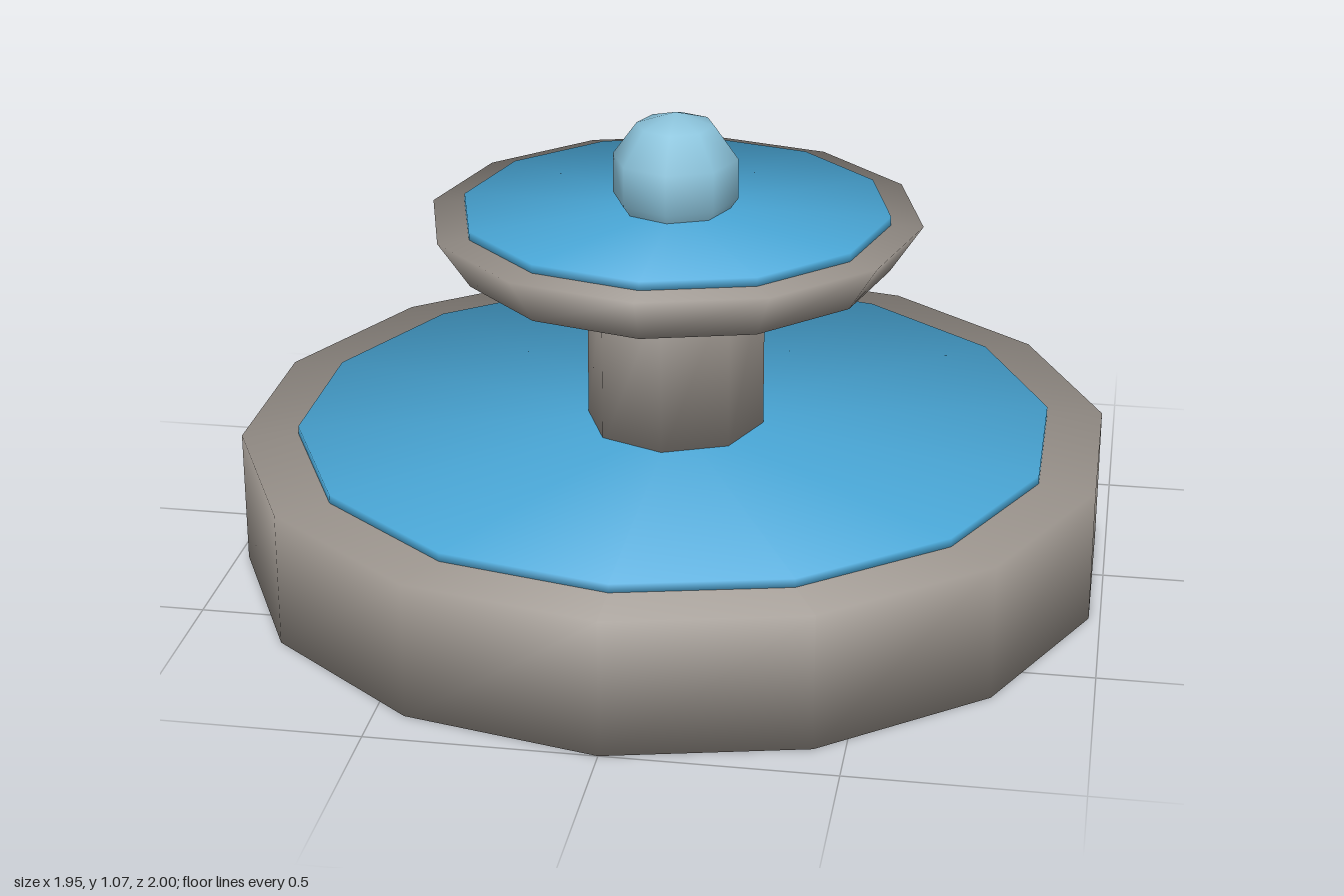
import * as THREE from 'three';

const material = (name, color) => {
  const m = new THREE.MeshStandardMaterial({ color });
  m.name = name;
  return m;
};

// Average the normals of corners that share a position, so rims shade softly.
function softenRims(geometry) {
  const pos = geometry.attributes.position;
  const nor = geometry.attributes.normal;
  const sums = new Map();
  const p = new THREE.Vector3();
  const n = new THREE.Vector3();
  const keys = [];
  for (let i = 0; i < pos.count; i++) {
    p.fromBufferAttribute(pos, i);
    const key = [p.x, p.y, p.z].map((v) => Math.round(v * 1e4)).join();
    keys.push(key);
    if (!sums.has(key)) sums.set(key, new THREE.Vector3());
    sums.get(key).add(n.fromBufferAttribute(nor, i));
  }
  keys.forEach((key, i) => {
    n.copy(sums.get(key)).normalize();
    nor.setXYZ(i, n.x, n.y, n.z);
  });
  return geometry;
}

export function createModel() {
  const fountain = new THREE.Group();
  fountain.name = 'fountain';

  const stone = material('stone', 0x9c958e);
  const water = material('water', 0x4aa8d8);
  const spray = material('spray', 0x8cc4dc);

  // Upright faceted disc from y0 to y1
  const addDisc = (name, mat, sides, rTop, rBottom, y0, y1) => {
    const geometry = softenRims(new THREE.CylinderGeometry(rTop, rBottom, y1 - y0, sides));
    const mesh = new THREE.Mesh(geometry, mat);
    mesh.name = name;
    mesh.position.y = (y0 + y1) / 2;
    fountain.add(mesh);
  };

  // Lower basin and its pool
  addDisc('basin', stone, 14, 1, 1, 0, 0.31);
  addDisc('basinWater', water, 14, 0.87, 0.87, 0.306, 0.33);

  // Central column
  addDisc('column', stone, 8, 0.205, 0.205, 0.31, 0.72);

  // Flared upper bowl and its pool
  addDisc('upperBowl', stone, 12, 0.56, 0.487, 0.72, 0.83);
  addDisc('upperBowlWater', water, 12, 0.487, 0.487, 0.826, 0.85);

  // Ball of bubbling water on top
  const ball = new THREE.Mesh(new THREE.SphereGeometry(0.15, 8, 5), spray);
  ball.name = 'waterBall';
  ball.position.y = 0.92;
  fountain.add(ball);

  return fountain;
}
